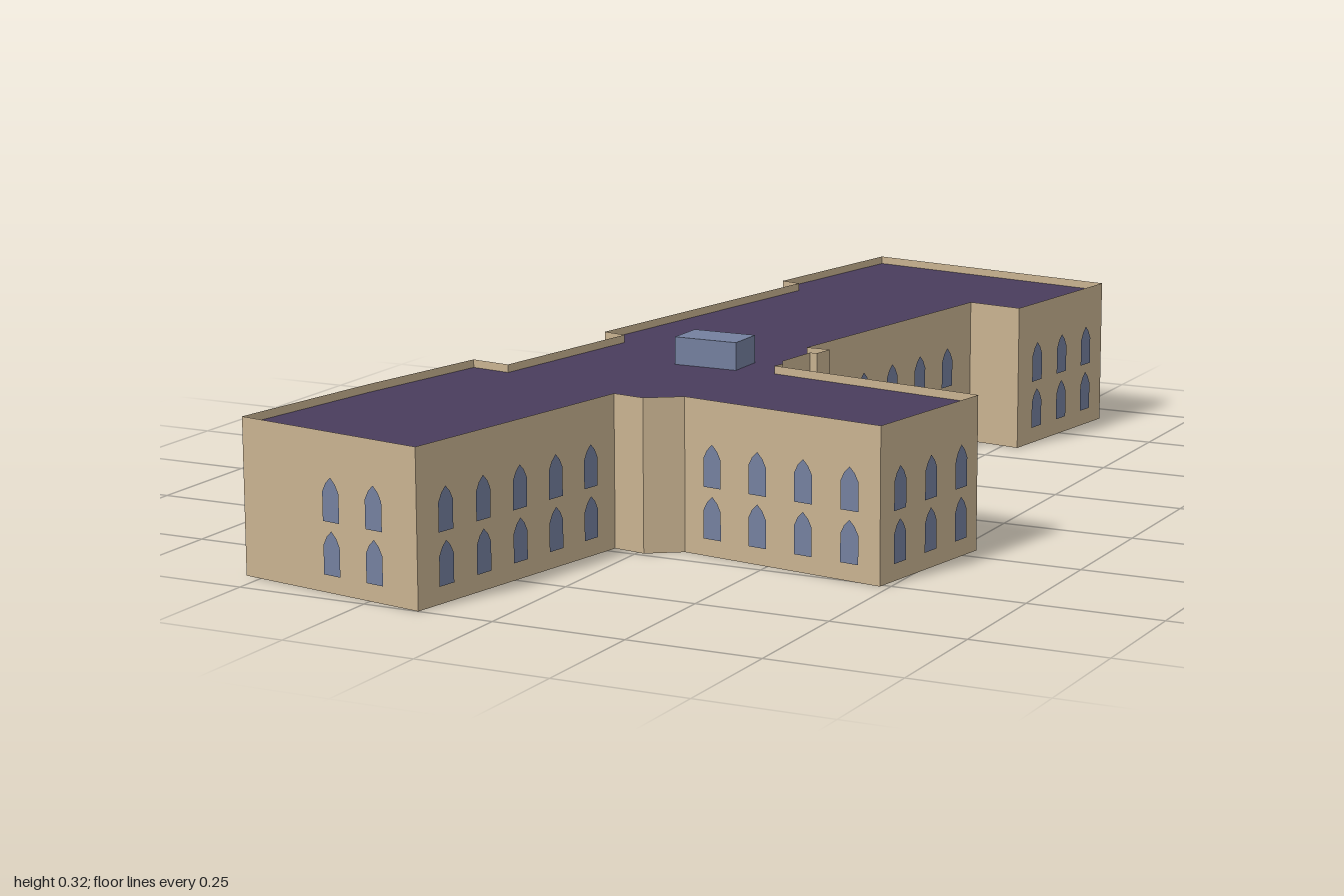
import * as THREE from 'three';

const WALL_H = 0.283, ROOF_Y = 0.268, SPACING = 0.097;

// Footprint walked clockwise seen from above: [x, z, windows on the wall to the next corner, centre along it]
const OUTLINE = [
  [-0.204, -1.0, 'north'],
  [0.33, -0.913, 3],
  [0.283, -0.585, 0],
  [0.172, -0.602, 5],
  [0.077, -0.045, 0],
  [0.124, -0.045, 0],
  [0.118, -0.003, 0],
  [0.104, -0.003, 0],
  [0.092, 0.09, 0],
  [0.104, 0.112, 0],
  [0.098, 0.136, 4],
  [0.533, 0.206, 3],
  [0.483, 0.51, 4],
  [0.074, 0.447, 0],
  [0.013, 0.489, 0],
  [-0.05, 0.479, 5],
  [-0.143, 1.0, 2, 0.36],
  [-0.533, 0.93, 3],
  [-0.481, 0.605, 2],
  [-0.425, 0.33, 0],
  [-0.345, 0.342, 3],
  [-0.287, 0.0, 0],
  [-0.335, -0.01, 6],
  [-0.225, -0.638, 0],
  [-0.267, -0.648, 3],
];

// Pointed-arch window, its sill on y = 0
function windowGeometry() {
  const s = new THREE.Shape();
  s.moveTo(-0.0187, 0);
  s.lineTo(0.0187, 0);
  s.lineTo(0.0187, 0.052);
  s.lineTo(0.011, 0.067);
  s.lineTo(0, 0.078);
  s.lineTo(-0.011, 0.067);
  s.lineTo(-0.0187, 0.052);
  s.closePath();
  return new THREE.ShapeGeometry(s);
}

export function createModel() {
  const stone = new THREE.MeshStandardMaterial({ color: 0xc9b391, side: THREE.DoubleSide });
  stone.name = 'sandstone';
  const slate = new THREE.MeshStandardMaterial({ color: 0x493d5d, side: THREE.DoubleSide });
  slate.name = 'purple roof';
  const glass = new THREE.MeshStandardMaterial({ color: 0x74809f });
  glass.name = 'blue glass';

  const model = new THREE.Group();
  model.name = 'building';
  const walls = new THREE.Group();
  walls.name = 'walls';
  const windows = new THREE.Group();
  windows.name = 'windows';
  model.add(walls, windows);

  const pane = windowGeometry();
  OUTLINE.forEach(([ax, az, count, centre = 0.5], i) => {
    const [bx, bz] = OUTLINE[(i + 1) % OUTLINE.length];
    const dx = bx - ax, dz = bz - az, len = Math.hypot(dx, dz);
    const nx = dz / len, nz = -dx / len, turn = Math.atan2(nx, nz);

    // Thin wall, rising past the roof as a parapet
    const wall = new THREE.Mesh(new THREE.PlaneGeometry(len, WALL_H), stone);
    wall.name = 'wall';
    wall.position.set((ax + bx) / 2, WALL_H / 2, (az + bz) / 2);
    wall.rotation.y = turn;
    walls.add(wall);

    // Two storeys of evenly spaced windows
    const row = (n, mid) => {
      for (let k = 0; k < n; k++) {
        const t = mid + ((k - (n - 1) / 2) * SPACING) / len;
        for (const y of [0.032, 0.126]) {
          const w = new THREE.Mesh(pane, glass);
          w.name = 'window';
          w.position.set(ax + dx * t + nx * 0.003, y, az + dz * t + nz * 0.003);
          w.rotation.y = turn;
          windows.add(w);
        }
      }
    };
    if (count === 'north') {
      // One window beside a group of three
      row(1, 0.145);
      row(3, 0.64);
    } else row(count, centre);
  });

  // Flat roof just below the parapet
  const plan = new THREE.Shape(OUTLINE.map(([x, z]) => new THREE.Vector2(x, -z)));
  const roof = new THREE.Mesh(new THREE.ShapeGeometry(plan).rotateX(-Math.PI / 2), slate);
  roof.name = 'roof';
  roof.position.y = ROOF_Y;
  model.add(roof);

  // Rooftop skylight box
  const skylight = new THREE.Mesh(new THREE.BoxGeometry(0.126, 0.32 - ROOF_Y, 0.08), glass);
  skylight.name = 'skylight';
  skylight.position.set(-0.042, (0.32 + ROOF_Y) / 2, 0.1);
  model.add(skylight);

  return model;
}
